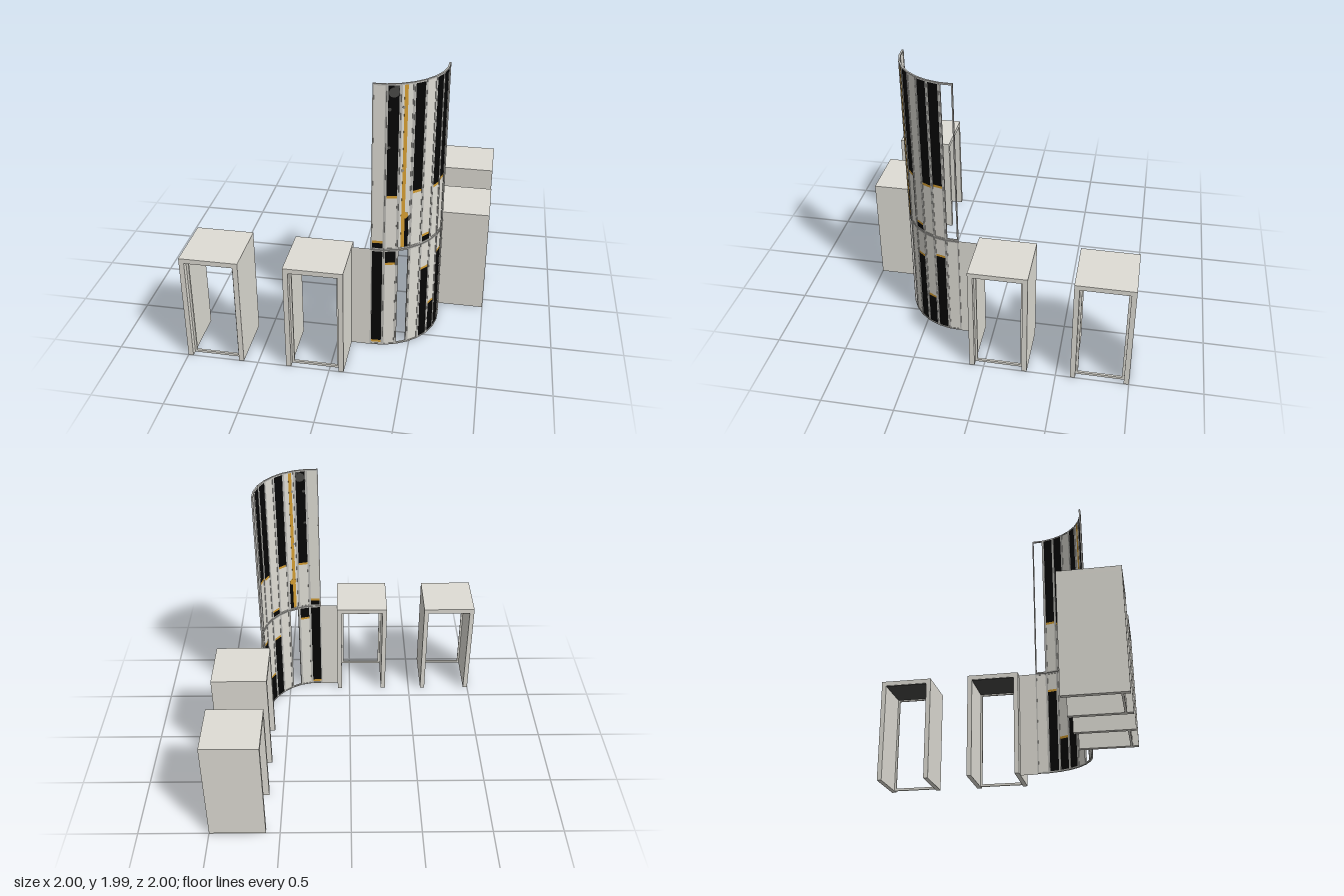
import * as THREE from 'three';

const mat = (name, color, side = THREE.FrontSide) => {
  const m = new THREE.MeshStandardMaterial({ color, side });
  m.name = name;
  return m;
};

export function createModel() {
  const model = new THREE.Group();
  model.name = 'exhibitionStand';
  const grey = mat('warm grey', 0xdfddd5);
  const sheet = mat('warm grey sheet', 0xdfddd5, THREE.DoubleSide);
  const metal = mat('frame grey', 0xbdbcb7);
  const black = mat('black', 0x050505);
  const gold = mat('gold', 0xd29c32);
  const dark = mat('dark grey', 0x484846);
  const mid = mat('mid grey', 0x93918a);

  // box given by its limits
  function box(parent, name, m, x0, x1, y0, y1, z0, z1) {
    const mesh = new THREE.Mesh(new THREE.BoxGeometry(x1 - x0, y1 - y0, z1 - z0), m);
    mesh.position.set((x0 + x1) / 2, (y0 + y1) / 2, (z0 + z1) / 2);
    mesh.name = name;
    parent.add(mesh);
  }
  // round decal passing through a panel
  function disc(parent, name, m, x, y, r, depth) {
    const mesh = new THREE.Mesh(new THREE.CylinderGeometry(r, r, depth, 20), m);
    mesh.rotation.x = Math.PI / 2;
    mesh.position.set(x, y, 0);
    mesh.name = name;
    parent.add(mesh);
  }

  // Booths: open at both ends along local z, with a slim recessed door frame at the front
  function booth(x, z, turn) {
    const g = new THREE.Group();
    g.name = 'booth';
    const h = 0.2, w = 0.035, f = 0.015, i = h - w;
    const front = h - 0.04, back = front - f;
    for (const s of [-1, 1]) {
      const a = s < 0 ? -h : i;
      box(g, 'boothWall', grey, a, a + w, 0, 0.765, -h, h);
      const b = s < 0 ? -i : i - f;
      box(g, 'doorJamb', grey, b, b + f, 0, 0.765, back, front);
    }
    box(g, 'boothRoof', grey, -h, h, 0.765, 0.8, -h, h);
    box(g, 'boothCeiling', dark, -i, i, 0.761, 0.765, -h + 0.005, back);
    box(g, 'doorHead', grey, -i + f, i - f, 0.75, 0.765, back, front);
    box(g, 'doorSill', grey, -i + f, i - f, 0, 0.018, back, front);
    g.position.set(x, 0, z);
    g.rotation.y = turn;
    model.add(g);
  }
  for (const p of [-0.8, -0.1]) {
    booth(p, 0.8, 0);
    booth(0.8, p, Math.PI / 2);
  }

  // Thin link walls between the booths and the curved screen
  for (const turn of [0, Math.PI / 2]) {
    const wall = new THREE.Mesh(new THREE.PlaneGeometry(0.13, 0.8), sheet);
    wall.name = 'linkWall';
    wall.rotation.y = turn;
    wall.position.set(turn ? 0.67 : 0.165, 0.4, turn ? 0.165 : 0.67);
    model.add(wall);
  }

  // Curved screen: [upper, lower] for each panel; black above or below a gold line
  const up = (y) => ({ line: y, above: black, below: grey });
  const down = (y) => ({ line: y, above: grey, below: black });
  const plain = { above: grey };
  const panels = [
    [down(0.86), { line: 0.035, above: black, below: grey }],
    [up(1.202), up(0.688)],
    [plain, null],
    [up(1.22), plain],
    [down(0.86), down(0.593)],
    [up(1.204), down(0.263)],
    [up(1.222), down(0.65)],
    [null, plain],
  ];
  const C = 0.258, R = 0.413, start = -0.0678;
  const step = (Math.PI / 2 - 2 * start) / panels.length;
  const at = (k) => {
    const a = start + k * step;
    return new THREE.Vector2(C + R * Math.sin(a), C + R * Math.cos(a));
  };

  panels.forEach((pair, k) => {
    const a = at(k), b = at(k + 1);
    const half = a.distanceTo(b) / 2;
    const g = new THREE.Group();
    g.name = 'screenPanel' + (k + 1);
    g.position.set((a.x + b.x) / 2, 0, (a.y + b.y) / 2);
    g.rotation.y = Math.atan2(a.y - b.y, b.x - a.x);
    model.add(g);

    pair.forEach((fill, lower) => {
      const [y0, y1] = lower ? [0.006, 0.798] : [0.802, 1.99];
      const t = 0.011, d = 0.006, q = half - 0.009;
      // slim frame
      box(g, 'framePost', metal, -half, -q, y0, y1, -d, d);
      box(g, 'framePost', metal, q, half, y0, y1, -d, d);
      box(g, 'frameRail', metal, -q, q, y0, y0 + t, -d, d);
      box(g, 'frameRail', metal, -q, q, y1 - t, y1, -d, d);
      if (!fill) return;
      // coloured infill
      const e = 0.003, lo = y0 + t, hi = y1 - t;
      if (!fill.line) {
        box(g, 'infill', fill.above, -q, q, lo, hi, -e, e);
        return;
      }
      const l = fill.line - 0.009, u = fill.line + 0.009;
      box(g, 'upperInfill', fill.above, -q, q, u, hi, -e, e);
      box(g, 'goldLine', gold, -q, q, l, u, -e, e);
      box(g, 'lowerInfill', fill.below, -q, q, lo, l, -e, e);
    });

    // round marks on the second panel
    if (k === 1) {
      disc(g, 'largeMark', dark, 0.002, 1.933, 0.034, 0.008);
      box(g, 'markCorner', dark, 0.002, 0.034, 1.935, 1.979, -0.0038, 0.0038);
      disc(g, 'smallMark', dark, -0.024, 1.82, 0.012, 0.008);
      disc(g, 'smallMark', dark, -0.024, 1.56, 0.01, 0.008);
    }
    // gold stripe with a knob and black inset on the third panel
    if (k === 2) {
      box(g, 'goldStripe', gold, -0.021, 0.003, 0.813, 1.979, -0.0042, 0.0042);
      box(g, 'blackInset', black, 0.003, 0.029, 0.813, 1.045, -0.004, 0.004);
      disc(g, 'goldKnob', gold, 0, 1.057, 0.026, 0.0095);
      for (const y of [1.83, 1.39]) disc(g, 'smallDot', mid, -0.023, y, 0.01, 0.009);
    }
  });
  return model;
}
